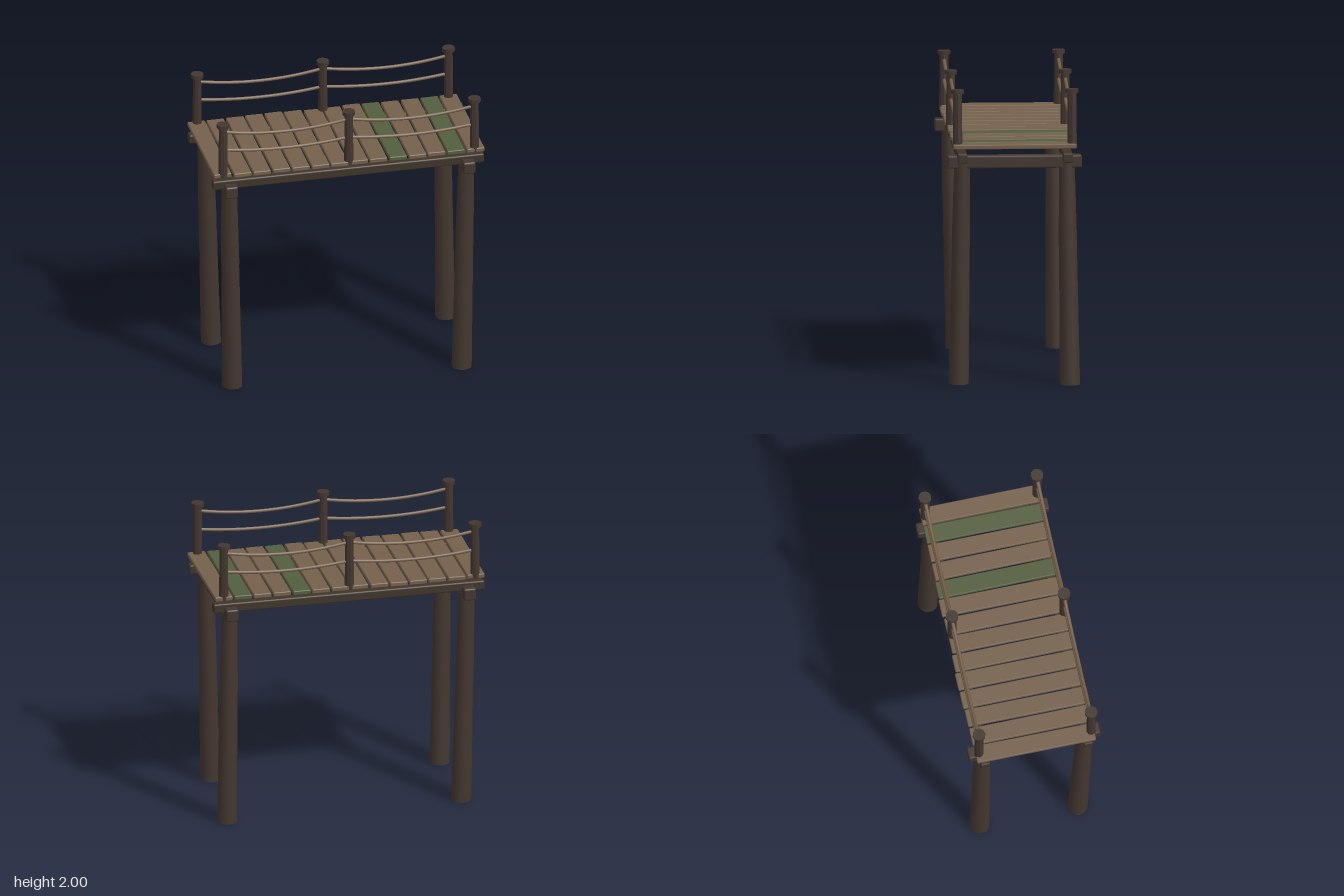
import * as THREE from 'three';
import { RoundedBoxGeometry } from 'three/addons/geometries/RoundedBoxGeometry.js';

const mat = (name, color) => new THREE.MeshStandardMaterial({ name, color });

export function createModel() {
  const group = new THREE.Group();
  group.name = 'rope bridge section';
  const pileWood = mat('dark pile wood', 0x43362f);
  const beamWood = mat('dark beam wood', 0x3f3429);
  const plankWood = mat('plank wood', 0x745f4b);
  const mossWood = mat('mossy plank', 0x535d3e);
  const rope = mat('rope', 0x745e49);

  const add = (name, geometry, material, x = 0, y = 0, z = 0) => {
    const mesh = new THREE.Mesh(geometry, material);
    mesh.name = name;
    mesh.position.set(x, y, z);
    group.add(mesh);
    return mesh;
  };
  const block = (w, h, d, bevel) => new RoundedBoxGeometry(w, h, d, 1, bevel);

  // Leaning leg section: a tapered cylinder sheared so its ends stay level
  const legSection = (name, a, b, rA, rB) => {
    const h = b.y - a.y;
    const g = new THREE.CylinderGeometry(rB, rA, h, 16);
    const shear = new THREE.Matrix4().set(
      1, (b.x - a.x) / h, 0, (a.x + b.x) / 2,
      0, 1, 0, (a.y + b.y) / 2,
      0, (b.z - a.z) / h, 1, (a.z + b.z) / 2,
      0, 0, 0, 1);
    add(name, g.applyMatrix4(shear), pileWood);
  };

  // Four legs: foot x, foot z; each in two stacked sections
  const feet = [[0.777, 0.372], [0.837, -0.37], [-0.782, 0.308], [-0.773, -0.36]];
  for (const [x, z] of feet) {
    const foot = new THREE.Vector3(x, 0, z);
    const top = new THREE.Vector3(Math.sign(x) * 0.813, 1.5, Math.sign(z) * 0.35);
    const joint = foot.clone().lerp(top, 0.93 / 1.5);
    legSection('lowerLeg', foot, joint, 0.068, 0.06);
    legSection('upperLeg', joint, top, 0.062, 0.053);
  }

  // Cross beams on the legs, long beams on top of them
  for (const s of [-1, 1]) {
    add('crossBeam', block(0.085, 0.085, 0.9, 0.012), pileWood, s * 0.815, 1.507, 0);
    add('longBeam', block(1.86, 0.064, 0.066, 0.01), beamWood, 0, 1.541, s * 0.352);
  }

  // Deck planks with small irregularities
  let seed = 7;
  const jitter = (amount) => {
    seed = (seed * 16807) % 2147483647;
    return (seed / 2147483647 - 0.5) * 2 * amount;
  };
  for (let i = 0; i < 14; i++) {
    const mossy = i === 9 || i === 12;
    const plank = add(mossy ? 'mossyPlank' : 'plank',
      block(0.121, 0.031, 0.825 + jitter(0.015), 0.007), mossy ? mossWood : plankWood,
      -0.866 + i * 0.1332, 1.618 + jitter(0.002), jitter(0.004));
    plank.rotation.set(0, jitter(0.006), jitter(0.015));
  }

  // Railing: capped posts and two sagging ropes per bay on each side
  const ropeLine = (x0, x1, y, sag, z) => {
    const points = [];
    for (let i = 0; i <= 8; i++) {
      const t = i / 8;
      points.push(new THREE.Vector3(x0 + (x1 - x0) * t, y - sag * 4 * t * (1 - t), z));
    }
    add('rope', new THREE.TubeGeometry(new THREE.CatmullRomCurve3(points), 16, 0.0115, 8), rope);
  };
  for (const z of [-0.383, 0.383]) {
    for (const x of [-0.862, 0, 0.862]) {
      const post = new THREE.CylinderGeometry(0.029, 0.032, 0.368, 8).toNonIndexed();
      post.computeVertexNormals();
      add('railPost', post, pileWood, x, 1.792, z);
      const cap = new THREE.CylinderGeometry(0.043, 0.043, 0.026, 10).toNonIndexed();
      cap.computeVertexNormals();
      add('postCap', cap, pileWood, x, 1.987, z);
    }
    for (const x of [-0.862, 0]) {
      ropeLine(x, x + 0.862, 1.941, 0.042, z);
      ropeLine(x, x + 0.862, 1.806, 0.03, z);
    }
  }
  return group;
}
